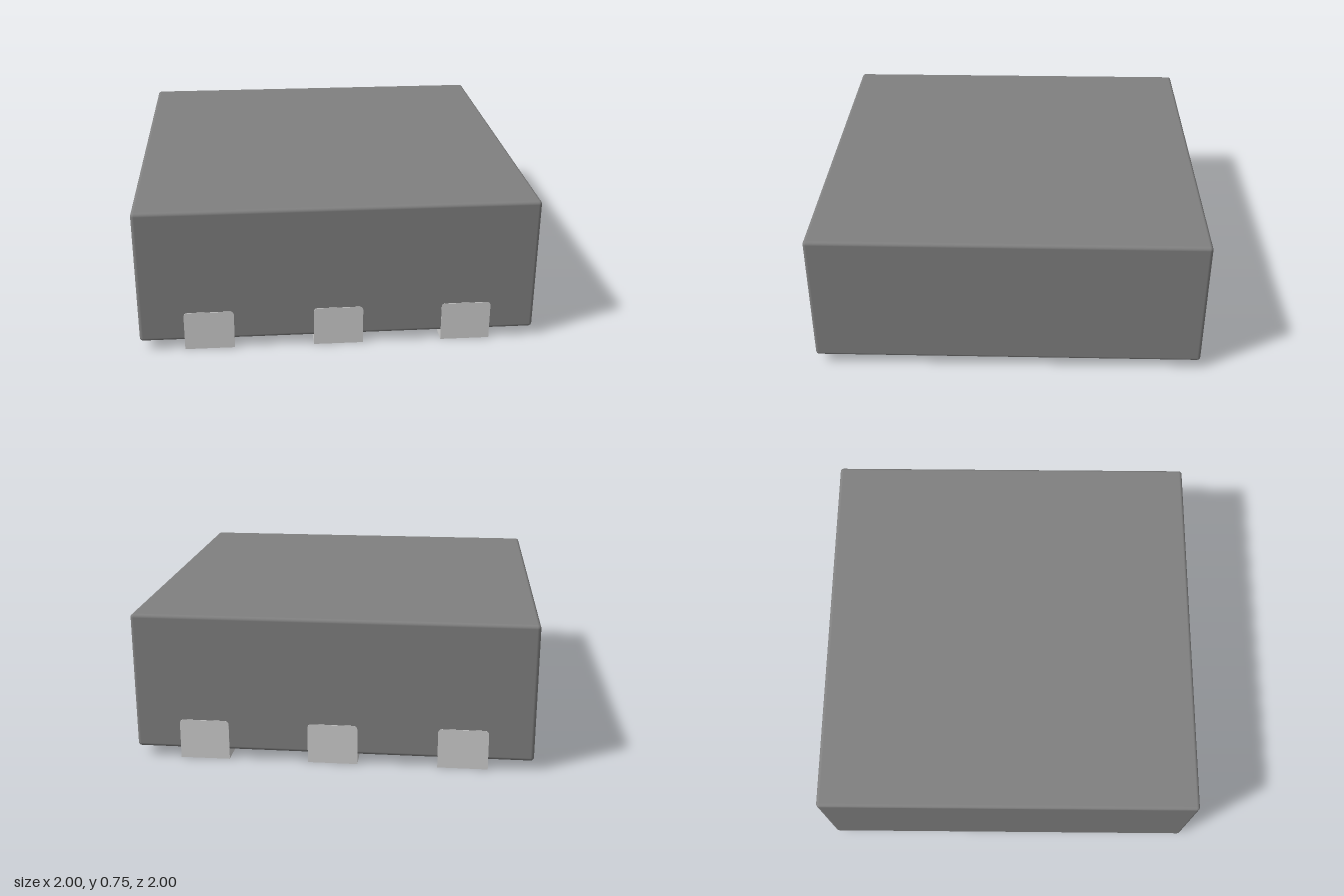
import * as THREE from 'three';
import { RoundedBoxGeometry } from 'three/addons/geometries/RoundedBoxGeometry.js';

const bodyGrey = new THREE.MeshStandardMaterial({ color: 0x808080 });
bodyGrey.name = 'bodyGrey';
const metalGrey = new THREE.MeshStandardMaterial({ color: 0xd0d0d0 });
metalGrey.name = 'metalGrey';

function add(parent, name, geometry, material, x = 0, y = 0, z = 0) {
  const mesh = new THREE.Mesh(geometry, material);
  mesh.name = name;
  mesh.position.set(x, y, z);
  parent.add(mesh);
  return mesh;
}

// Upright contact face: square at the foot, rounded at the top corners
function contactGeometry(width, height, depth, r) {
  const w = width / 2;
  const s = new THREE.Shape();
  s.moveTo(-w, 0);
  s.lineTo(w, 0);
  s.lineTo(w, height - r);
  s.absarc(w - r, height - r, r, 0, Math.PI / 2);
  s.lineTo(-w + r, height);
  s.absarc(-w + r, height - r, r, Math.PI / 2, Math.PI);
  s.closePath();
  return new THREE.ExtrudeGeometry(s, { depth, bevelEnabled: false, curveSegments: 5 });
}

export function createModel() {
  const model = new THREE.Group();
  model.name = 'chipPackage';

  // Moulded body with finely rounded edges
  add(model, 'body', new RoundedBoxGeometry(2, 0.7, 1.994, 4, 0.018), bodyGrey, 0, 0.4, 0);

  // Large pad in the middle of the underside
  add(model, 'centrePad', new THREE.BoxGeometry(1.4, 0.06, 0.8), metalGrey, 0, 0.03, 0);

  // Three leads along the front and three along the back
  const padGeometry = new THREE.BoxGeometry(0.25, 0.06, 0.342);
  const faceGeometry = contactGeometry(0.25, 0.205, 0.008, 0.02);
  for (const side of [0, 1]) {
    const row = new THREE.Group();
    row.name = side ? 'backLeads' : 'frontLeads';
    row.rotation.y = side * Math.PI;
    for (const x of [-0.65, 0, 0.65]) {
      const lead = new THREE.Group();
      lead.name = 'lead';
      lead.position.x = x;
      add(lead, 'leadPad', padGeometry, metalGrey, 0, 0.03, 0.821);
      add(lead, 'leadFace', faceGeometry, metalGrey, 0, 0, 0.992);
      row.add(lead);
    }
    model.add(row);
  }

  // Small raised orientation mark on the underside
  add(model, 'orientationMark', new THREE.BoxGeometry(0.1, 0.014, 0.05), bodyGrey, 0.825, 0.047, 0.505);

  return model;
}
